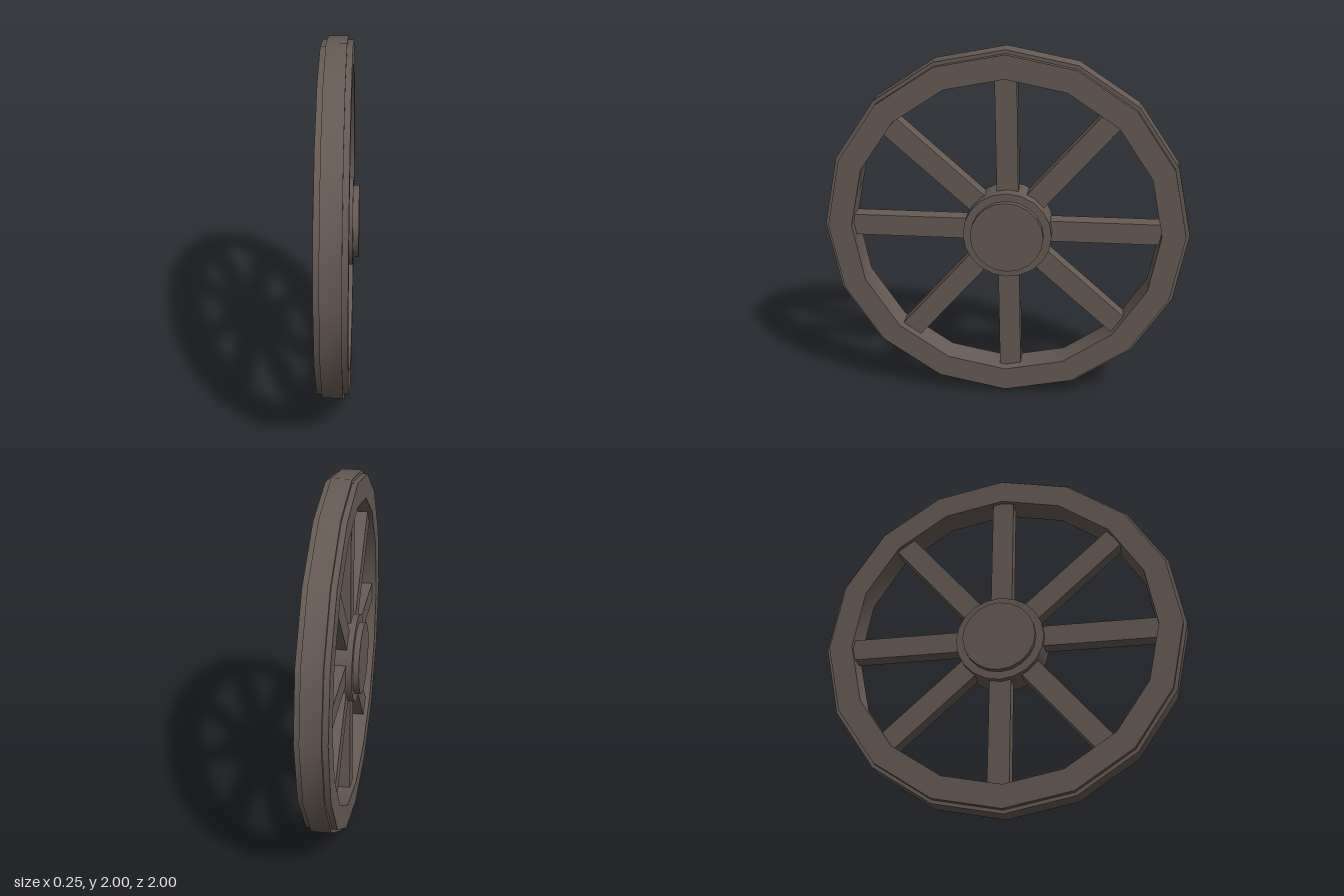
import * as THREE from 'three';
import { toCreasedNormals } from 'three/addons/utils/BufferGeometryUtils.js';

export function createModel() {
  const model = new THREE.Group();
  model.name = 'wheel';
  const wood = new THREE.MeshStandardMaterial({ color: 0x665a54 });
  wood.name = 'dark wood';

  const add = (parent, name, geometry, y, z, x = 0) => {
    const mesh = new THREE.Mesh(geometry, wood);
    mesh.name = name;
    mesh.position.set(x, y, z);
    parent.add(mesh);
    return mesh;
  };

  // Turn a closed [radius, x] profile around the x axle
  const turned = (profile, sides) => {
    const points = profile.map(([r, x]) => new THREE.Vector2(r, x));
    const geometry = new THREE.LatheGeometry(points, sides).rotateZ(-Math.PI / 2);
    return toCreasedNormals(geometry, 0.5);
  };

  // Sixteen-sided rim with a slightly raised tyre band
  add(model, 'rim', turned([
    [0.85, -0.085], [0.98, -0.085], [0.98, -0.055], [1, -0.055],
    [1, 0.055], [0.98, 0.055], [0.98, 0.085], [0.85, 0.085], [0.85, -0.085],
  ], 16), 1, 0);

  // Hub barrel with a narrower cap on both sides, a little off centre
  add(model, 'hub', turned([
    [0, -0.125], [0.2, -0.125], [0.2, -0.093], [0.243, -0.093],
    [0.243, 0.093], [0.2, 0.093], [0.2, 0.125], [0, 0.125],
  ], 20), 0.978, -0.012);

  // Four slightly uneven bars crossing at the hub make eight spokes
  const spokes = new THREE.Group();
  spokes.name = 'spokes';
  model.add(spokes);
  const bar = new THREE.BoxGeometry(0.088, 1.72, 0.118);
  [0.016, 0.84, Math.PI / 2, -0.717].forEach((angle, i) => {
    add(spokes, `spokePair${i + 1}`, bar, 0.987, -0.012, -0.016).rotation.x = angle;
  });

  return model;
}
